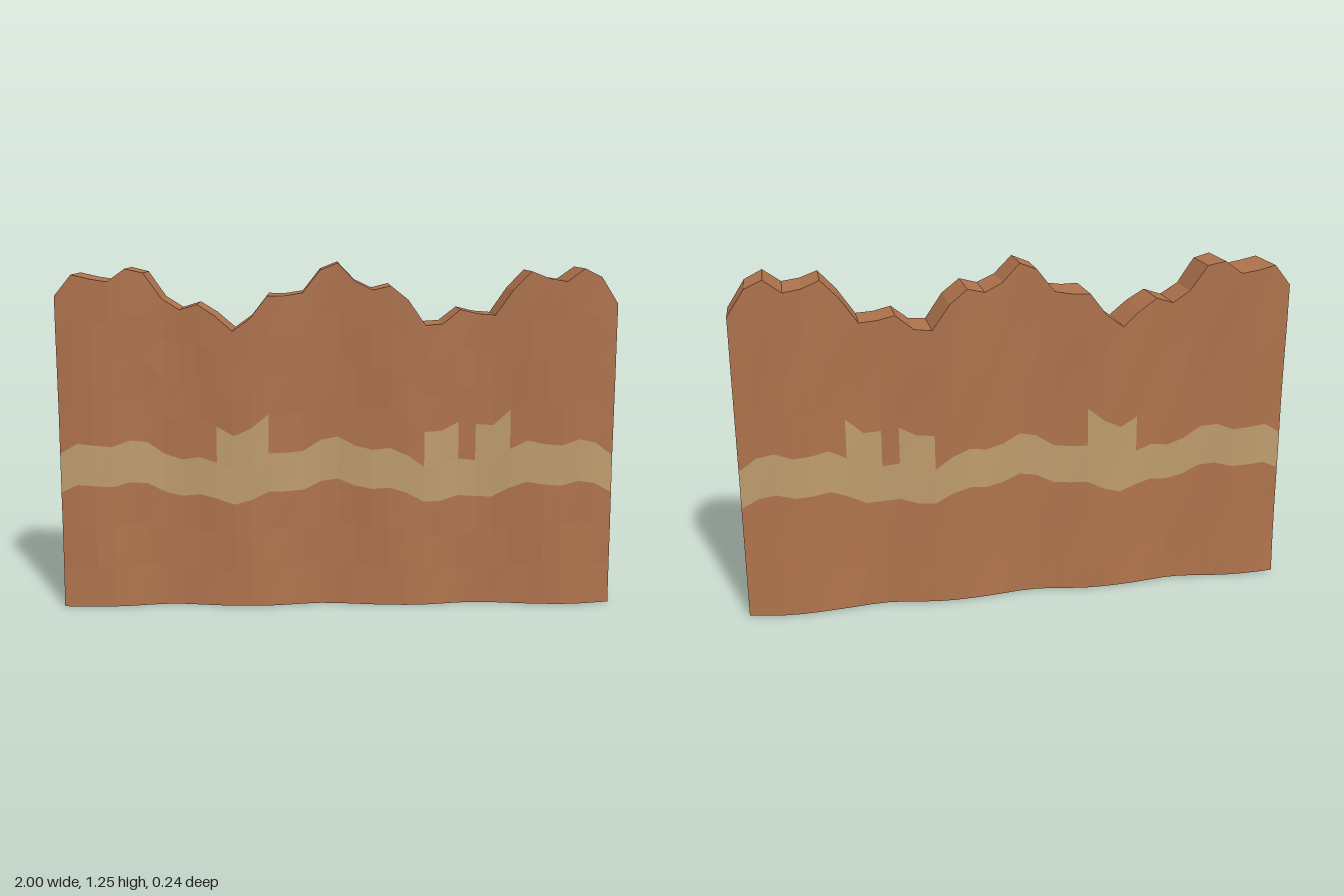
import * as THREE from 'three';

const COLS = 32, ROWS = 8;

// Height of the ragged crest at each column line, from x = -1 to x = 1
const CREST = [
  1.13, 1.205, 1.19, 1.18, 1.225, 1.21, 1.12, 1.08, 1.10, 1.06, 1.005,
  1.05, 1.13, 1.13, 1.14, 1.22, 1.245, 1.18, 1.15, 1.165, 1.115, 1.025,
  1.03, 1.08, 1.065, 1.06, 1.15, 1.215, 1.19, 1.18, 1.225, 1.195, 1.10,
];

// Columns where the pale band steps one row higher
const RAISED = new Set([9, 10, 11, 21, 22, 24, 25]);
const inBand = (i, j) => j === 3 || (j === 4 && RAISED.has(i));

// Grid point on the front (side = 1) or back (side = -1) face
function point(i, j, side) {
  const x = -1 + (2 * i) / COLS;
  const y = (CREST[i] * j) / ROWS;
  const ripple = 0.086 + 0.012 * Math.cos((2 * Math.PI * (x + 0.88)) / 0.56)
    + 0.0015 * Math.sin(x * 23 + j * 1.7);
  const flare = 1 + 0.25 * Math.max(0, 1 - y / 0.85) ** 2;
  return [x, y, side * ripple * flare];
}

// Faceted mesh from a list of quads with counter-clockwise corners
function quadMesh(name, quads, material) {
  const positions = [];
  for (const [a, b, c, d] of quads) positions.push(...a, ...b, ...c, ...a, ...c, ...d);
  const geometry = new THREE.BufferGeometry();
  geometry.setAttribute('position', new THREE.Float32BufferAttribute(positions, 3));
  geometry.computeVertexNormals();
  const mesh = new THREE.Mesh(geometry, material);
  mesh.name = name;
  return mesh;
}

export function createModel() {
  const clay = new THREE.MeshStandardMaterial({ color: 0xae724c });
  clay.name = 'clay brown';
  const sand = new THREE.MeshStandardMaterial({ color: 0xbd9b6c });
  sand.name = 'sand';

  const group = new THREE.Group();
  group.name = 'rockWall';

  // Rippled front and back faces with the pale band
  for (const side of [1, -1]) {
    const rock = [], band = [];
    for (let i = 0; i < COLS; i++) {
      for (let j = 0; j < ROWS; j++) {
        const quad = [point(i, j, side), point(i + 1, j, side),
          point(i + 1, j + 1, side), point(i, j + 1, side)];
        if (side < 0) quad.reverse();
        (inBand(i, j) ? band : rock).push(quad);
      }
    }
    const label = side > 0 ? 'front' : 'back';
    group.add(quadMesh(label + 'Rock', rock, clay), quadMesh(label + 'Band', band, sand));
  }

  // Crest and underside
  const crest = [], base = [];
  for (let i = 0; i < COLS; i++) {
    crest.push([point(i, ROWS, 1), point(i + 1, ROWS, 1),
      point(i + 1, ROWS, -1), point(i, ROWS, -1)]);
    base.push([point(i, 0, -1), point(i + 1, 0, -1), point(i + 1, 0, 1), point(i, 0, 1)]);
  }
  group.add(quadMesh('crest', crest, clay), quadMesh('underside', base, sand));

  // End faces; the left end has a pale foot
  const leftEnd = [], rightEnd = [];
  for (let j = 0; j < ROWS; j++) {
    leftEnd.push([point(COLS, j, 1), point(COLS, j, -1),
      point(COLS, j + 1, -1), point(COLS, j + 1, 1)]);
    rightEnd.push([point(0, j, -1), point(0, j, 1),
      point(0, j + 1, 1), point(0, j + 1, -1)]);
  }
  group.add(
    quadMesh('leftEndFoot', leftEnd.slice(0, 1), sand),
    quadMesh('leftEnd', leftEnd.slice(1), clay),
    quadMesh('rightEnd', rightEnd, clay),
  );
  return group;
}
